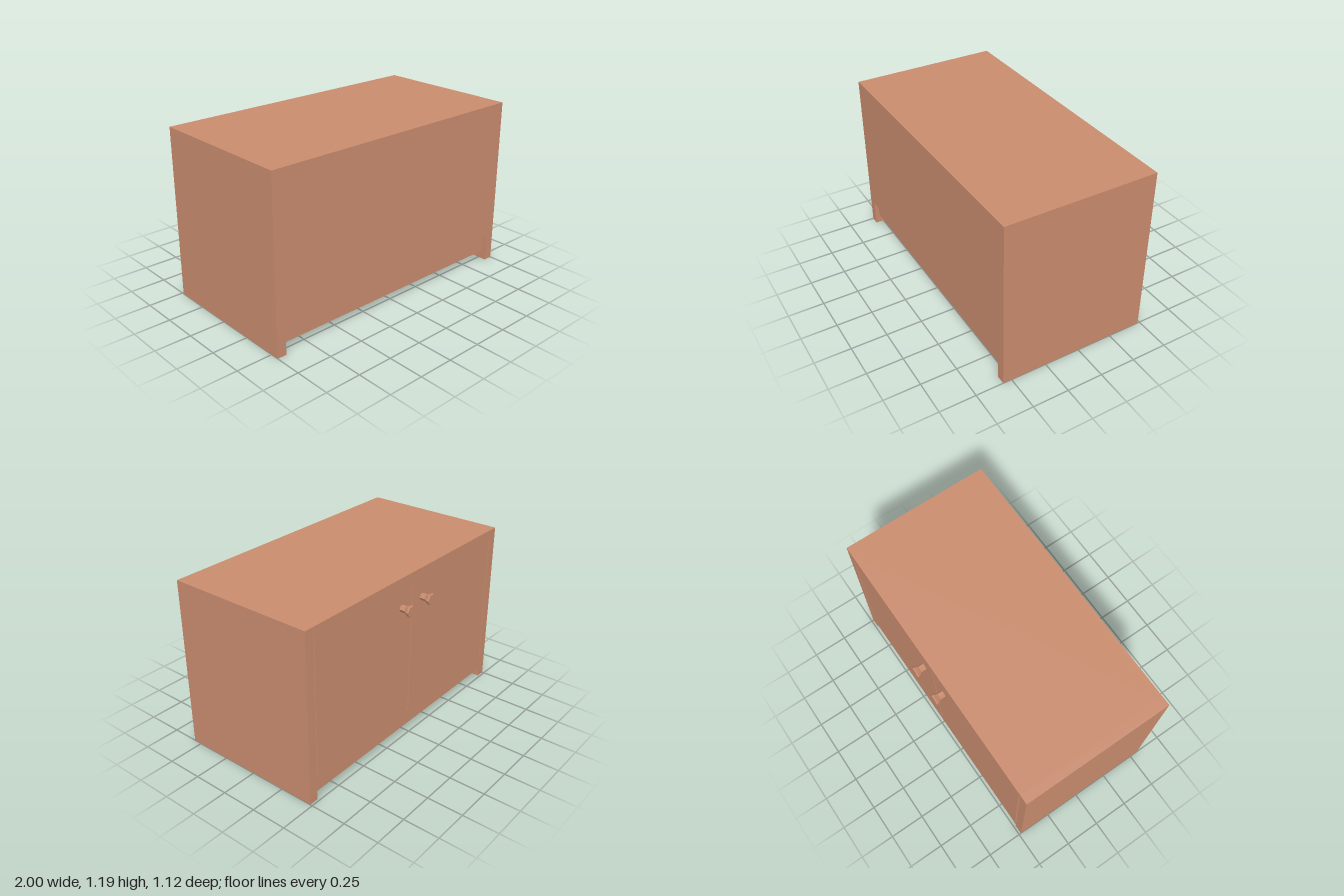
import * as THREE from 'three';

export function createModel() {
  const model = new THREE.Group();
  model.name = 'cabinet';
  const wood = new THREE.MeshStandardMaterial({ color: 0xc98c6e });
  wood.name = 'wood';
  const knobWood = wood;

  const H = 1.19, INNER = 0.935, FRONT = 0.56, BACK = -0.485, SHEET = 0.53;
  const FLOOR = 0.185, CEILING = 1.13;

  function add(name, geometry, material = wood) {
    const mesh = new THREE.Mesh(geometry, material);
    mesh.name = name;
    model.add(mesh);
    return mesh;
  }

  // Box given by its low and high corners
  function board(name, x0, x1, y0, y1, z0, z1) {
    const geometry = new THREE.BoxGeometry(x1 - x0, y1 - y0, z1 - z0);
    add(name, geometry).position.set((x0 + x1) / 2, (y0 + y1) / 2, (z0 + z1) / 2);
  }

  // Carcass
  board('leftSide', INNER, 1, 0, H, BACK, SHEET);
  board('rightSide', -1, -INNER, 0, H, BACK, SHEET);
  board('topBoard', -INNER, INNER, CEILING, H, BACK, SHEET);
  board('bottomBoard', -INNER, INNER, 0.065, FLOOR, BACK, SHEET);

  // Full-width panel with a notch between its two feet
  const outline = new THREE.Shape([
    [-1, 0], [-INNER, 0], [-INNER, FLOOR], [INNER, FLOOR],
    [INNER, 0], [1, 0], [1, H], [-1, H],
  ].map(([x, y]) => new THREE.Vector2(x, y)));
  const panel = new THREE.ExtrudeGeometry(outline, { depth: FRONT - SHEET, bevelEnabled: false });
  add('frontPanel', panel).position.z = SHEET;

  // Six-sided knob, turned to point out of the doors
  const profile = [[0.024, 0], [0.024, 0.036], [0.04, 0.065], [0.04, 0.071], [0.034, 0.075], [0, 0.075]]
    .map(([r, y]) => new THREE.Vector2(r, y));
  const knob = new THREE.LatheGeometry(profile, 6, Math.PI / 2)
    .rotateX(-Math.PI / 2).toNonIndexed();
  knob.computeVertexNormals();

  // Doors with narrow gaps at the sides and in the middle
  for (const [side, s] of [['left', 1], ['right', -1]]) {
    const a = s * 0.006, b = s * (INNER - 0.011);
    board(side + 'Door', Math.min(a, b), Math.max(a, b), FLOOR, CEILING, BACK, BACK + 0.065);
    add(side + 'Knob', knob, knobWood).position.set(s * 0.11, 0.984, BACK);
  }

  return model;
}
